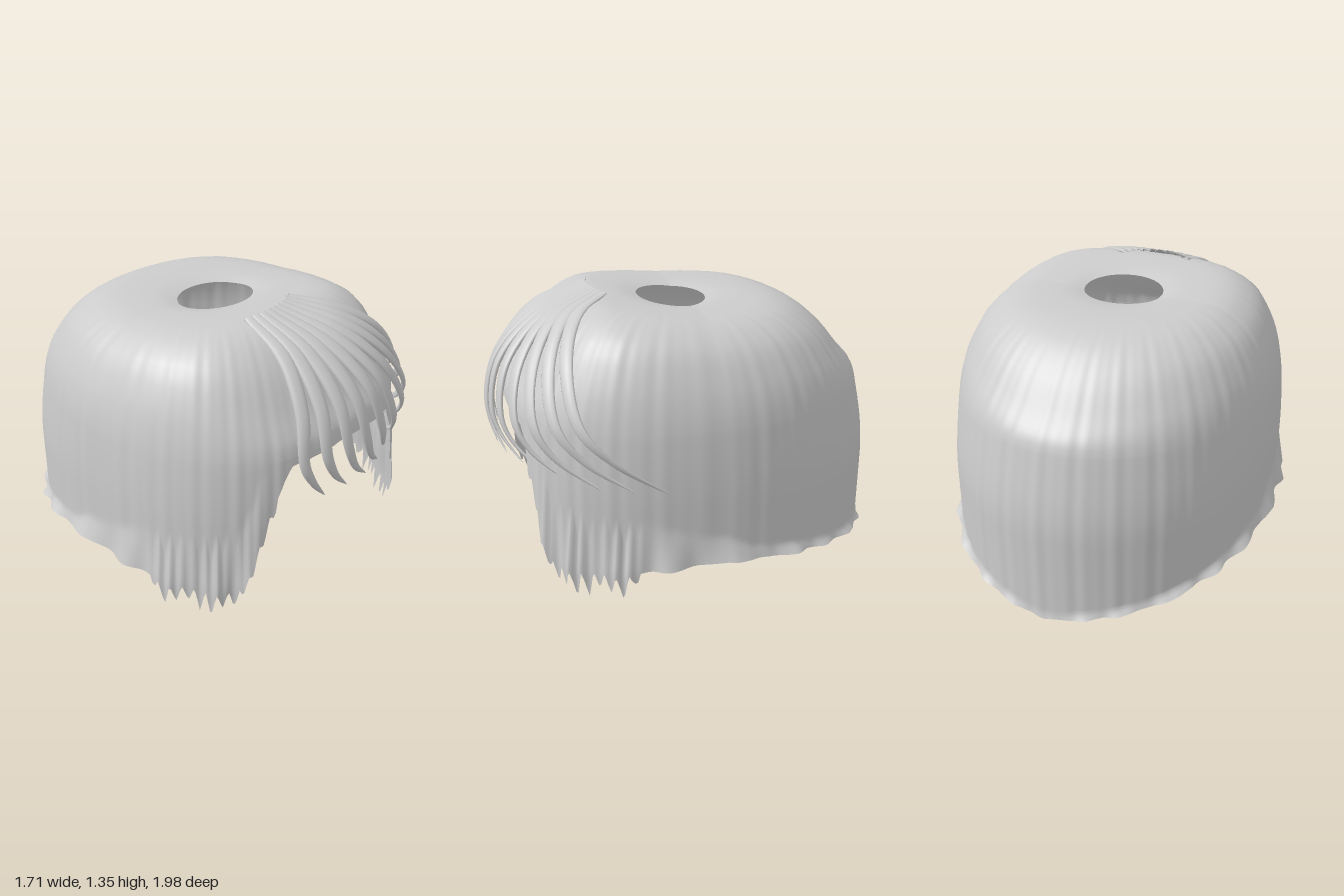
import * as THREE from 'three';

const { smoothstep, lerp, clamp } = THREE.MathUtils;
const material = new THREE.MeshStandardMaterial({ color: 0xcccccc, side: THREE.DoubleSide });

// Grid surface closed around its columns; at(v, j) gives the point of row v (0..1) and column j
function wrappedSurface(rows, cols, at, name) {
  const positions = [], index = [];
  for (let i = 0; i <= rows; i++)
    for (let j = 0; j < cols; j++) positions.push(...at(i / rows, j).toArray());
  for (let i = 0; i < rows; i++)
    for (let j = 0; j < cols; j++) {
      const k = (j + 1) % cols;
      const a = i * cols + j, b = a + cols, c = (i + 1) * cols + k, d = i * cols + k;
      index.push(a, b, c, a, c, d);
    }
  const geometry = new THREE.BufferGeometry();
  geometry.setAttribute('position', new THREE.Float32BufferAttribute(positions, 3));
  geometry.setIndex(index);
  geometry.computeVertexNormals();
  const mesh = new THREE.Mesh(geometry, material);
  mesh.name = name;
  return mesh;
}

// Piecewise linear lookup in [key, value] pairs
function lookup(table, x) {
  for (let i = 1; i < table.length; i++) {
    const [x0, y0] = table[i - 1], [x1, y1] = table[i];
    if (x <= x1) return lerp(y0, y1, clamp((x - x0) / (x1 - x0), 0, 1));
  }
  return table[table.length - 1][1];
}

const triangleWave = (x) => Math.abs(2 * (x - Math.floor(x)) - 1);

// Height of the lower hem by angle from the front: brow, temple, sideburn, nape
const hem = [[0, 0.84], [0.35, 0.82], [0.4, 0.76], [0.485, 0.62], [0.57, 0.44], [0.65, 0.25], [0.7, 0.2],
  [1.18, 0.21], [1.25, 0.215], [1.57, 0.235], [1.99, 0.18], [2.53, 0.09], [3.142, 0.005]];

function hemHeight(phi) {
  let y = lookup(hem, phi);
  if (phi > 0.45 && phi < 0.66) y -= 0.07 * triangleWave(phi * 15);
  if (phi >= 0.66 && phi < 1.22)
    y -= (0.12 + 0.04 * Math.sin(phi * 23)) * triangleWave(phi * 14) * smoothstep(1.3 - phi, 0, 0.2);
  return y;
}

// Crown profile: how far from the hole to the outer wall, and height
const crown = new THREE.SplineCurve([[0, 1.27], [0.12, 1.285], [0.29, 1.287], [0.45, 1.28], [0.6, 1.25],
  [0.76, 1.175], [0.88, 1.05], [0.94, 0.945], [0.967, 0.86]].map((p) => new THREE.Vector2(...p)));

function makeCap() {
  const cols = 480;
  return wrappedSurface(50, cols, (v, j) => {
    const angle = (j / cols) * Math.PI * 2 - Math.PI;
    const phi = Math.abs(angle), s = Math.sin(angle), c = Math.cos(angle);
    // Egg-shaped plan, squarer at the front
    const e = c > 0 ? 2 / 2.6 : 1;
    const ox = 0.81 * Math.sign(s) * Math.abs(s) ** e;
    const oz = (c > 0 ? 0.92 : 0.975) * Math.sign(c) * Math.abs(c) ** e;
    const bottom = hemHeight(phi);
    let g, y;
    if (v < 0.5) {
      const p = crown.getPoint(v * 2);
      g = p.x;
      y = p.y;
    } else {
      const t = (v - 0.5) * 2;
      y = lerp(0.86, bottom, 1 - (1 - t) ** 1.5);
      g = 1 - 0.033 * (Math.max(0, y - 0.5) / 0.36) ** 2;
    }
    // The back leans in towards the crown
    g *= 1 - 0.05 * Math.max(0, -c) * smoothstep(y, 0.45, 0.95);
    // Fine combed grooves
    g += 0.002 * smoothstep(g, 0, 0.3) * (Math.sin(angle * 43) + 0.7 * Math.sin(angle * 71 + 1));
    let x = lerp(0.2 * s, ox, g), z = lerp(0.05 + 0.17 * c, oz, g);
    // Crown rises to the front hairline, then falls away to brow and nape
    const sway = z > 0 ? 0.1 * z - 1.05 * Math.max(0, z - 0.4) ** 2 : -0.45 * Math.max(0, -z - 0.3) ** 2;
    y += smoothstep(y, 0.86, 1.2) * sway;
    // Rippled flare along the hem: full at the sideburns, a thin lip at the nape
    const height = lookup([[0.7, 0.34], [1.2, 0.26], [1.7, 0.06], [2.2, 0.03]], phi);
    const amount = lookup([[0.4, 0], [0.68, 0.05], [1.2, 0.055], [1.7, 0.045], [2.6, 0.03], [3.142, 0.015]], phi);
    let flare = clamp(1 - (y - bottom) / height, 0, 1) ** 1.1;
    if (phi < 1.25) flare *= lerp(0.6, 1, smoothstep(y, 0.08, 0.24));
    const ripple = 0.68 + 0.32 * Math.sin(phi * 24 + 0.8 * Math.sin(phi * 9));
    const out = amount * flare * ripple, length = Math.hypot(x, z);
    x += (x / length) * out;
    z += (z / length) * out;
    return new THREE.Vector3(x, y, z);
  }, 'hairCap');
}

// Guide paths of the swept fringe, from its right side to its left, root to tip
const guides = [
  [[-0.19, 1.34, 0.44], [-0.23, 1.24, 0.69], [-0.29, 1.05, 0.85], [-0.34, 0.85, 0.92], [-0.3, 0.75, 0.94], [-0.19, 0.62, 0.93]],
  [[-0.11, 1.35, 0.46], [-0.09, 1.24, 0.72], [-0.08, 1.05, 0.91], [-0.07, 0.85, 0.98], [-0.02, 0.74, 0.985], [0.12, 0.62, 0.95]],
  [[-0.03, 1.35, 0.46], [0.06, 1.245, 0.72], [0.15, 1.06, 0.91], [0.22, 0.85, 0.96], [0.28, 0.74, 0.93], [0.425, 0.62, 0.82]],
  [[0.05, 1.35, 0.44], [0.19, 1.265, 0.67], [0.37, 1.09, 0.81], [0.52, 0.88, 0.84], [0.59, 0.75, 0.77], [0.715, 0.61, 0.57]],
  [[0.12, 1.345, 0.41], [0.28, 1.29, 0.57], [0.52, 1.13, 0.66], [0.7, 0.91, 0.64], [0.775, 0.76, 0.5], [0.815, 0.6, 0.26]],
].map((path) => new THREE.CatmullRomCurve3(path.map((p) => new THREE.Vector3(...p))));

function fringePoint(u, v) {
  const across = new THREE.CatmullRomCurve3(guides.map((guide) => guide.getPoint(v)));
  return across.getPoint(clamp(u, 0, 1));
}

// One lens-shaped lock tapering to a point
function makeLock(i, count) {
  const u = i / (count - 1), step = 0.5 / (count - 1);
  const rows = 32, sides = 10;
  const rings = Array.from({ length: rows + 1 }, (_, r) => {
    const v = r / rows;
    const centre = fringePoint(u, v);
    const tangent = fringePoint(u, Math.min(1, v + 0.01)).sub(fringePoint(u, Math.max(0, v - 0.01))).normalize();
    const lo = Math.max(0, u - step), hi = Math.min(1, u + step);
    const wide = fringePoint(hi, v).sub(fringePoint(lo, v)).multiplyScalar((step * 2) / (hi - lo));
    wide.addScaledVector(tangent, -wide.dot(tangent));
    const halfWidth = Math.min(0.65 * wide.length(), 0.04) * (1 - v * v) ** 0.8;
    wide.normalize();
    const normal = new THREE.Vector3().crossVectors(tangent, wide).normalize();
    return { centre, wide, normal, halfWidth, halfThick: 0.018 * (1 - v) ** 0.5 * (0.4 + Math.min(0.6, v * 2)) };
  });
  return wrappedSurface(rows, sides, (v, j) => {
    const ring = rings[Math.round(v * rows)], a = (j / sides) * Math.PI * 2;
    return ring.centre.clone()
      .addScaledVector(ring.wide, Math.cos(a) * ring.halfWidth)
      .addScaledVector(ring.normal, Math.sin(a) * ring.halfThick);
  }, 'fringeLock');
}

export function createModel() {
  const model = new THREE.Group();
  model.name = 'hair';
  model.add(makeCap());
  const fringe = new THREE.Group();
  fringe.name = 'fringe';
  const count = 10;
  for (let i = 0; i < count; i++) fringe.add(makeLock(i, count));
  model.add(fringe);
  return model;
}
